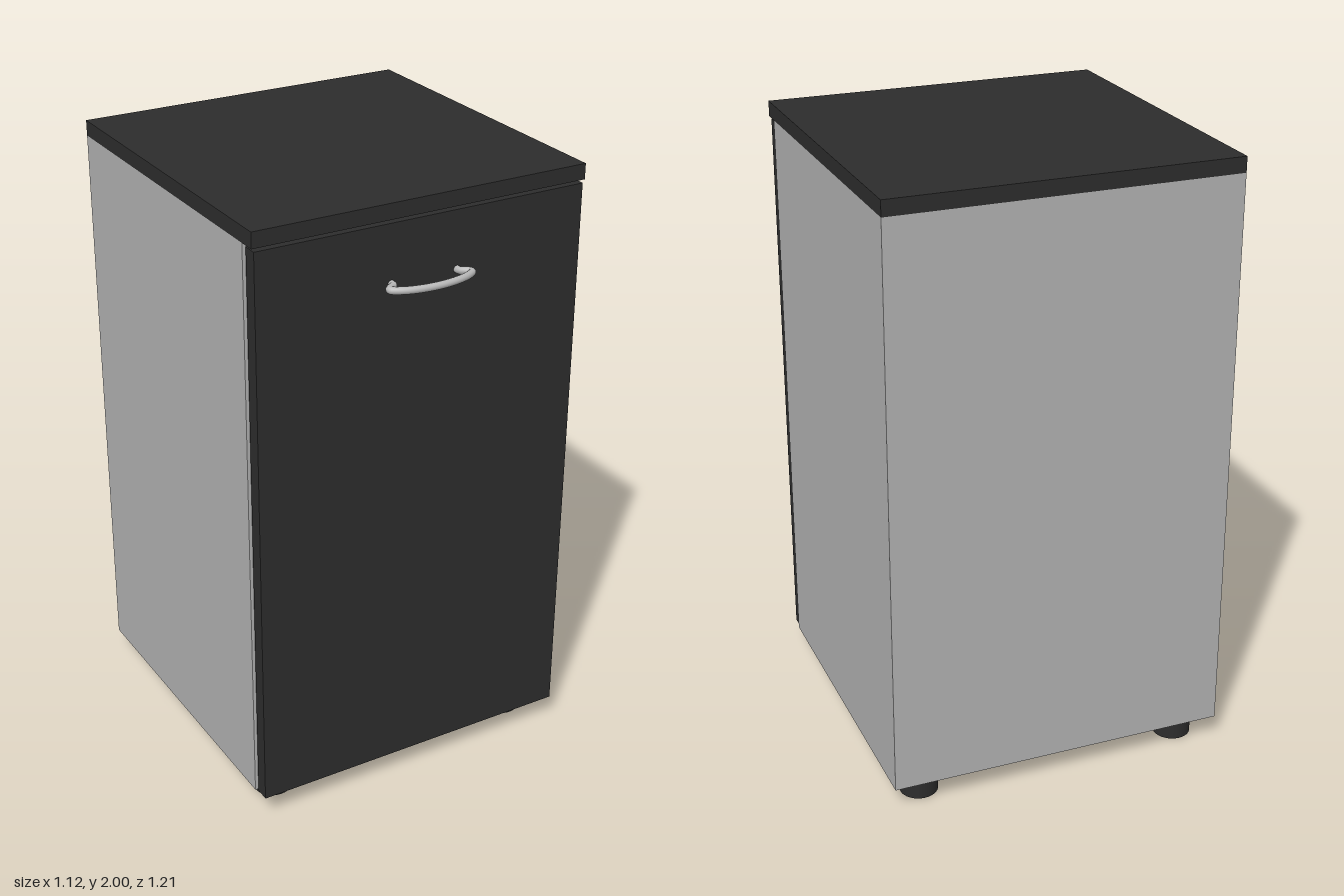
import * as THREE from 'three';

const material = (name, color) => {
  const m = new THREE.MeshStandardMaterial({ color });
  m.name = name;
  return m;
};

// Box given by its lower and upper corners
function block(name, [x0, y0, z0], [x1, y1, z1], mat) {
  const mesh = new THREE.Mesh(new THREE.BoxGeometry(x1 - x0, y1 - y0, z1 - z0), mat);
  mesh.position.set((x0 + x1) / 2, (y0 + y1) / 2, (z0 + z1) / 2);
  mesh.name = name;
  return mesh;
}

export function createModel() {
  const group = new THREE.Group();
  group.name = 'cabinet';
  const dark = material('charcoal', 0x2d2d2d);
  const grey = material('light grey', 0xb2b2b2);
  const metal = material('brushed metal', 0xb8b8b8);

  // Carcass, worktop and a door set slightly off the carcass
  group.add(
    block('carcass', [-0.56, 0.08, -0.605], [0.56, 1.95, 0.46], grey),
    block('worktop', [-0.56, 1.95, -0.605], [0.56, 2, 0.515], dark),
    block('door', [-0.553, 0.08, 0.468], [0.553, 1.94, 0.515], dark),
  );

  // Four round feet
  const footGeometry = new THREE.CylinderGeometry(0.062, 0.062, 0.08, 32);
  for (const x of [-0.45, 0.45]) {
    for (const z of [-0.508, 0.368]) {
      const foot = new THREE.Mesh(footGeometry, dark);
      foot.position.set(x, 0.04, z);
      foot.name = 'foot';
      group.add(foot);
    }
  }

  // Bow handle: short legs splay outwards, then a shallow arc joins them
  const v = (x, z) => new THREE.Vector3(x, 1.755, z);
  const path = new THREE.CurvePath();
  path.add(new THREE.LineCurve3(v(-0.112, 0.51), v(-0.112, 0.53)));
  path.add(new THREE.QuadraticBezierCurve3(v(-0.112, 0.53), v(-0.125, 0.535), v(-0.136, 0.545)));
  path.add(new THREE.QuadraticBezierCurve3(v(-0.136, 0.545), v(-0.145, 0.554), v(-0.132, 0.562)));
  path.add(new THREE.CubicBezierCurve3(v(-0.132, 0.562), v(-0.07, 0.604), v(0.07, 0.604), v(0.132, 0.562)));
  path.add(new THREE.QuadraticBezierCurve3(v(0.132, 0.562), v(0.145, 0.554), v(0.136, 0.545)));
  path.add(new THREE.QuadraticBezierCurve3(v(0.136, 0.545), v(0.125, 0.535), v(0.112, 0.53)));
  path.add(new THREE.LineCurve3(v(0.112, 0.53), v(0.112, 0.51)));
  const handle = new THREE.Mesh(new THREE.TubeGeometry(path, 96, 0.0115, 16), metal);
  handle.name = 'handle';
  group.add(handle);

  return group;
}
